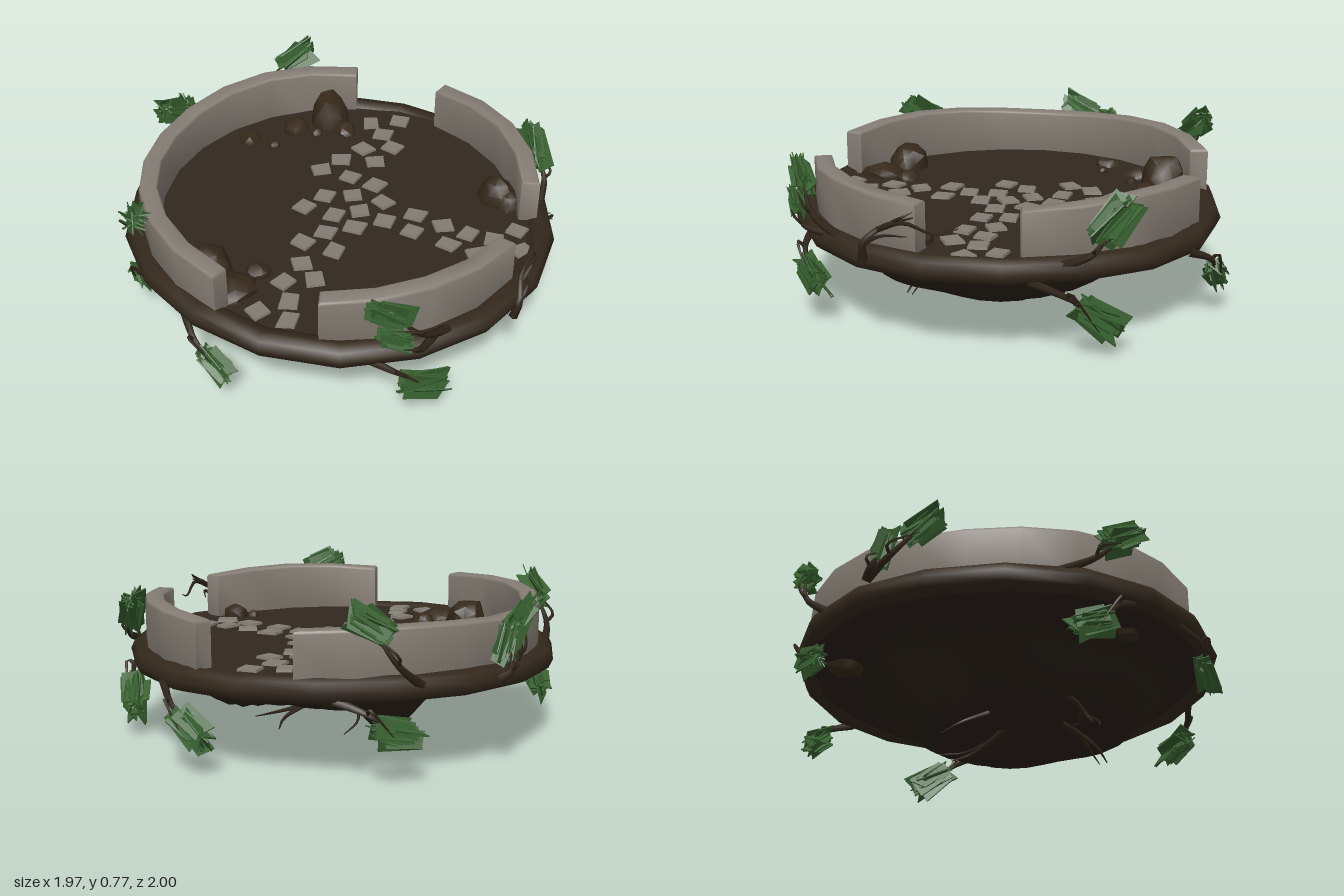
import * as THREE from 'three';
import { mergeVertices, toCreasedNormals } from 'three/addons/utils/BufferGeometryUtils.js';

const mat = (name, color, opts = {}) => {
  const m = new THREE.MeshStandardMaterial({ color, ...opts });
  m.name = name;
  return m;
};

export function createModel() {
  const root = new THREE.Group();
  root.name = 'gardenPlatform';

  const wallMat = mat('wallStone', 0x857d74);
  const paveMat = mat('pavingStone', 0x827c73);
  const soilMat = mat('soil', 0x31271e);
  const rimMat = mat('rimEarth', 0x33281c);
  const underMat = mat('underEarth', 0x2a2119);
  const rockMat = mat('rock', 0x35291a);
  const rootMat = mat('rootBark', 0x2f2419);
  const leafMat = mat('leaf', 0x37602f, { flatShading: true, side: THREE.DoubleSide });

  let seed = 7;
  const rnd = (a = 0, b = 1) => {
    seed = (seed * 16807) % 2147483647;
    return a + (b - a) * (seed / 2147483647);
  };
  const V = (a) => new THREE.Vector3(...a);
  const add = (name, geo, material, parent = root) => {
    const mesh = new THREE.Mesh(geo, material);
    mesh.name = name;
    parent.add(mesh);
    return mesh;
  };
  const group = (name) => {
    const g = new THREE.Group();
    g.name = name;
    root.add(g);
    return g;
  };
  // Moves every vertex by a rule
  const warp = (geo, fn) => {
    const p = geo.attributes.position, v = new THREE.Vector3();
    for (let i = 0; i < p.count; i++) {
      fn(v.fromBufferAttribute(p, i), i);
      p.setXYZ(i, v.x, v.y, v.z);
    }
    return geo;
  };
  const weld = (geo) => {
    geo.deleteAttribute('uv');
    geo.deleteAttribute('normal');
    const g = mergeVertices(geo, 1e-4);
    g.computeVertexNormals();
    return g;
  };

  // Earth rim: closed profile turned around, slightly uneven
  const profile = [];
  for (let i = 0; i <= 8; i++) {
    const a = (i / 8) * Math.PI * 2;
    profile.push(new THREE.Vector2(0.9 + 0.065 * Math.cos(a), 0.383 + 0.056 * Math.sin(a)));
  }
  const rim = warp(new THREE.LatheGeometry(profile, 18), (v) => {
    const a = Math.atan2(v.z, v.x);
    const s = 1 + 0.006 * Math.sin(5 * a + 1);
    v.set(v.x * s * 1.016 + 0.007, v.y + 0.008 * Math.sin(3 * a + 2.2) - 0.006 * v.x, v.z * s + 0.01);
  });
  add('rim', weld(rim), rimMat);

  // Soil floor
  add('soilFloor', new THREE.CircleGeometry(0.89, 36).rotateX(-Math.PI / 2).translate(0, 0.421, 0), soilMat);

  // Underside: broad lump with one sharp spur, gentler toward the back
  const under = warp(new THREE.RingGeometry(0.001, 0.9, 48, 20).rotateX(Math.PI / 2), (v) => {
    const rho = Math.hypot(v.x - 0.2, v.z - 0.03) / 0.77;
    const edge = Math.min(1, (0.9 - Math.hypot(v.x, v.z)) * 4);
    const slope = v.z > 0 ? 3.4 : 3.4 + 1.4 * Math.max(-1, v.z / 0.5);
    const lump = 0.178 * Math.min(1, Math.max(0, 1 - rho) * slope);
    const spur = 0.315 * (1 - Math.hypot(v.x + 0.33, v.z + 0.22) / 0.27);
    const noise = 0.024 * Math.sin(9 * v.x + 1) * Math.cos(8 * v.z + 0.6);
    v.y = 0.335 - edge * Math.max(lump + noise, spur, 0);
  });
  add('underside', weld(under), underMat);

  // Curved walls with three gateways
  const wall = (name, from, to) => {
    const n = Math.round((to - from) / 15), pts = [];
    const put = (r, d) => {
      const a = THREE.MathUtils.degToRad(d);
      pts.push(new THREE.Vector2(r * Math.cos(a), -r * Math.sin(a)));
    };
    for (let i = 0; i <= n; i++) put(0.887, from + ((to - from) * i) / n);
    for (let i = n; i >= 0; i--) put(0.828, from + ((to - from) * i) / n);
    const geo = new THREE.ExtrudeGeometry(new THREE.Shape(pts), {
      depth: 0.235, bevelEnabled: true, bevelThickness: 0.014, bevelSize: 0.012, bevelSegments: 3,
    });
    geo.rotateX(-Math.PI / 2).translate(0, 0.377, 0);
    warp(geo, (v) => {
      if (v.y > 0.5) v.y += 0.022 * Math.sin(2 * Math.atan2(v.z, v.x)) ** 2 - 0.004;
    });
    add(name, toCreasedNormals(geo, 0.9), wallMat);
  };
  wall('rightWall', 105.2, 254.8);
  wall('leftBackWall', -74.3, -14.7);
  wall('leftFrontWall', 14.7, 74.3);

  // Paving stones on three paths
  const paving = group('pavingStones');
  const spots = [
    [-.09, -.69], [.04, -.76], [0, -.62], [.08, -.53], [-.05, -.47], [.04, -.39], [-.12, -.35], [-.18, -.24],
    [-.03, -.23], [.1, -.21], [.03, -.1], [-.09, -.05], [.18, -.1], [.1, 0], [-.15, .06], [0, .07], [.12, .12],
    [.23, .03], [.35, -.06], [.37, .06], [.49, -.03], [.61, -.01], [.55, .09], [.73, -.01], [.69, .11],
    [.81, -.11], [.86, .02], [.01, .2], [-.06, .3], [.09, .31], [-.01, .44], [.08, .52], [-.04, .58],
    [.03, .69], [-.07, .79], [.07, .8],
  ];
  for (const [x, z] of spots) {
    const geo = new THREE.CylinderGeometry(0.056, 0.06, 0.016, 4);
    const skew = rnd(-0.3, 0.3);
    warp(geo, (v) => { v.x += skew * v.z * (v.x > 0 ? 1 : 0.3); });
    const stone = add('pavingStone', toCreasedNormals(geo, 0.4), paveMat, paving);
    stone.position.set(x, 0.425, z);
    stone.rotation.y = Math.PI / 4 + rnd(-0.6, 0.6);
    stone.scale.set(rnd(0.95, 1.1), 1, rnd(0.9, 1.05));
  }

  // Rocks: x, z, radius, height above the soil
  const rocks = group('rocks');
  for (const [x, z, r, h] of [
    [-.3, -.66, .105, .15], [-.2, -.6, .062, .04], [-.43, -.53, .07, .05], [-.31, -.51, .028, .03],
    [-.6, -.36, .062, .04], [-.47, -.35, .03, .03], [.66, -.33, .1, .11], [.73, -.29, .075, .07],
    [-.38, .6, .108, .12], [-.22, .69, .105, .055], [-.17, .55, .062, .04], [.72, .24, .062, .07], [.65, .29, .03, .03],
  ]) {
    const geo = weld(new THREE.IcosahedronGeometry(1, 1));
    warp(geo, (v) => v.multiplyScalar(rnd(0.86, 1.12)));
    const rock = add('rock', toCreasedNormals(geo, 0.65), rockMat, rocks);
    rock.position.set(x, 0.42, z);
    rock.scale.set(r, h, r * 0.92);
    rock.rotation.y = rnd(0, 6.3);
  }

  // Tapered root through a few points
  const taper = (name, pts, r, parent) => {
    const curve = new THREE.CatmullRomCurve3(pts.map(V)), seg = 10, sides = 5;
    const geo = warp(new THREE.TubeGeometry(curve, seg, r, sides), (v, i) => {
      const t = Math.floor(i / (sides + 1)) / seg;
      v.lerp(curve.getPointAt(t), 0.85 * t);
    });
    add(name, geo, rootMat, parent);
  };

  // Leaf bushes, each on a root from the rim: root x, z, bush x, y, z, size, steepness
  for (const [rx, rz, x, y, z, size, steep] of [
    [.42, -.84, .21, .19, -.95, 1, .8], [-.68, -.64, -.53, .665, -.8, 1, .45],
    [-.38, -.82, -.61, .22, -.72, 1, .3], [-.92, -.4, -.92, .635, -.17, .9, .5],
    [-.92, -.4, -.925, .54, -.32, .85, .9], [-.62, .66, -.78, .2, .5, 1, .5],
    [.85, -.38, .76, .57, -.57, 1.1, 1], [.9, -.25, .8, .18, -.52, 1.15, .9],
    [.7, .6, .52, .62, .82, 1, .6], [.66, .66, .55, .51, .84, .7, .5],
    [.4, .82, .65, .21, .74, 1.1, .25], [-.85, .38, -.71, .61, .62, 1, .6],
    [-.4, .82, -.21, .2, .93, .9, .8],
  ]) {
    const bush = group('leafBush');
    const start = [rx, y > 0.4 ? 0.41 : 0.35, rz];
    const end = V([x, y, z]);
    const out = new THREE.Vector3(x, 0, z).normalize();
    const mid = V(start).lerp(end, 0.5).addScaledVector(out, 0.04);
    mid.y += y > 0.4 ? -0.03 : 0.02;
    taper('root', [start, mid.toArray(), [x, y, z]], 0.022, bush);
    taper('twig', [mid.toArray(), [mid.x * 1.03, mid.y + 0.03, mid.z * 1.03],
      [x * 1.03, y + rnd(-0.07, 0.05), z * 1.03]], 0.009, bush);
    // Leaves run along the rim and stay thin outward
    const along = end.clone().sub(mid).projectOnPlane(out);
    along.y *= steep;
    along.normalize();
    const leaves = new THREE.Group();
    leaves.name = 'leaves';
    leaves.position.copy(end);
    leaves.quaternion.setFromRotationMatrix(
      new THREE.Matrix4().makeBasis(along, out.clone().cross(along), out));
    leaves.scale.set(size * 1.15, size, size * 0.75);
    bush.add(leaves);
    for (let i = 0; i < 18; i++) {
      const geo = new THREE.BoxGeometry(rnd(0.12, 0.17), 0.006, rnd(0.06, 0.1));
      warp(geo, (v) => { if (v.x > 0 && v.z > 0) v.x -= 0.025; });
      const leaf = add('leaf', geo, leafMat, leaves);
      leaf.position.set(rnd(-0.02, 0.03), rnd(-0.03, 0.03), rnd(-0.035, 0.035));
      leaf.rotation.set(rnd(0, 6.3), rnd(-0.2, 0.2), rnd(-0.2, 0.2));
    }
  }

  // Bare roots hanging below and climbing the left side
  const bare = group('bareRoots');
  for (const [r, ...pts] of [
    [.02, [-.25, .15, .3], [-.18, .12, .36], [-.15, .07, .4], [-.19, .02, .43]],
    [.012, [-.17, .1, .37], [-.1, .06, .36], [-.06, .07, .32]],
    [.01, [-.15, .07, .4], [-.12, .05, .45], [-.14, .025, .45]],
    [.02, [.1, .15, .25], [.19, .13, .32], [.23, .07, .4], [.26, .004, .44]],
    [.012, [.2, .12, .33], [.28, .08, .36], [.32, .02, .4]],
    [.02, [.1, .15, 0], [.16, .1, -.1], [.2, .06, -.2], [.18, .03, -.28]],
    [.012, [.16, .1, -.1], [.24, .09, -.24], [.26, .1, -.36]],
    [.012, [-.1, .14, -.05], [-.16, .08, -.16], [-.14, .04, -.26]],
    [.02, [.93, .4, .42], [.95, .48, .41], [.93, .55, .33], [.95, .6, .2]],
    [.013, [.94, .54, .35], [.96, .58, .24], [.93, .53, .12], [.9, .55, .03]],
    [.011, [.94, .57, .29], [.97, .6, .25], [.955, .625, .2]],
    [.011, [.95, .48, .41], [.96, .52, .33], [.9, .5, .24]],
  ]) taper('bareRoot', pts, r, bare);

  return root;
}
